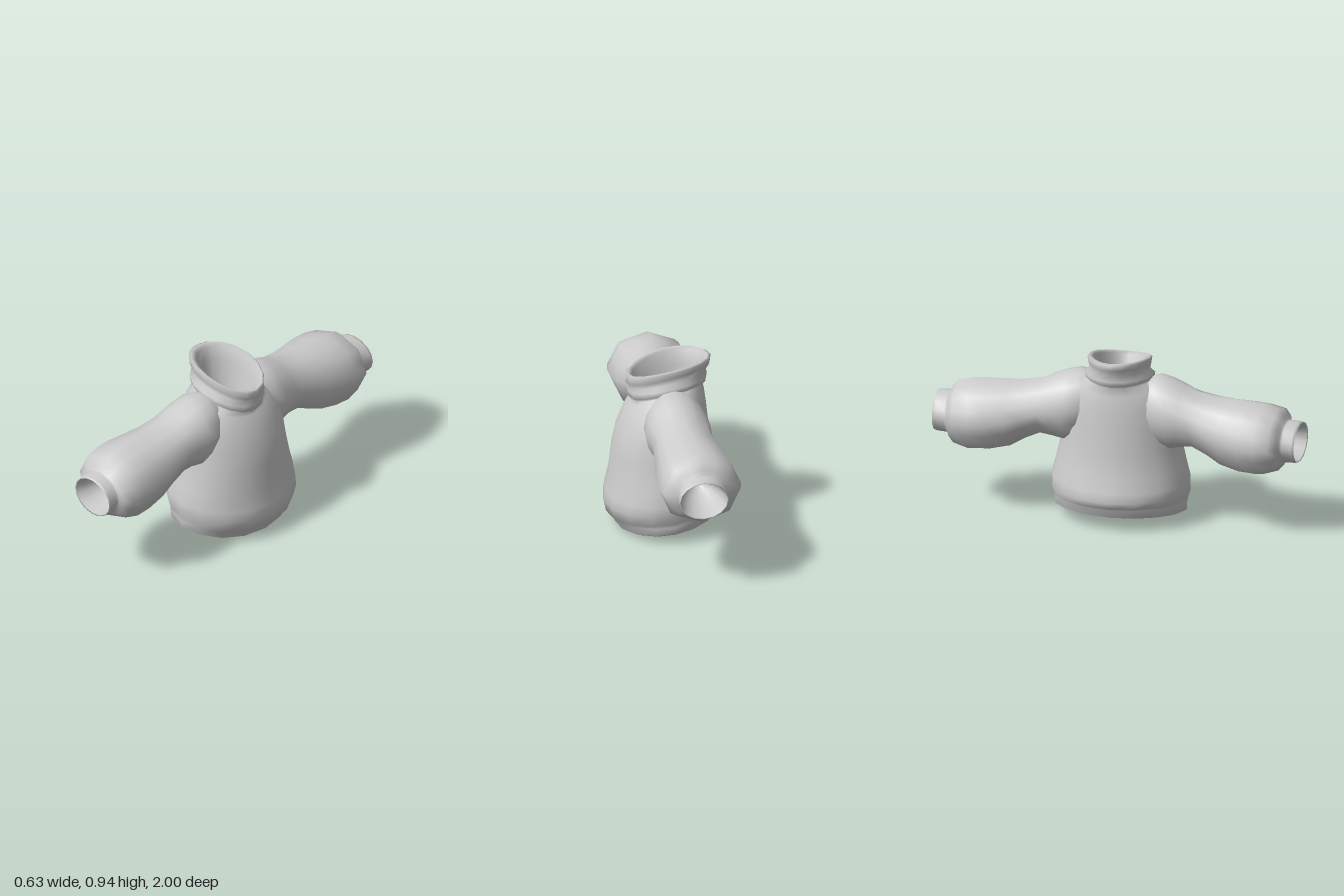
import * as THREE from 'three';

const SIDES = 16;

// Smooth closed-loop skin through rings of SIDES points each
function loft(rings, material, name) {
  const positions = rings.flat(2);
  const index = [];
  for (let r = 0; r < rings.length - 1; r++) {
    for (let i = 0; i < SIDES; i++) {
      const a = r * SIDES + i, b = r * SIDES + (i + 1) % SIDES;
      index.push(a, b, b + SIDES, a, b + SIDES, a + SIDES);
    }
  }
  const geometry = new THREE.BufferGeometry();
  geometry.setAttribute('position', new THREE.Float32BufferAttribute(positions, 3));
  geometry.setIndex(index);
  geometry.computeVertexNormals();
  const mesh = new THREE.Mesh(geometry, material);
  mesh.name = name;
  return mesh;
}

function ring(pointAt) {
  return Array.from({ length: SIDES }, (_, i) => pointAt(i / SIDES * Math.PI * 2, i));
}

// Tilted oval: back edge (x0, y0), chest edge (x1, y1), half width rz, arch of the sides
function bodyRing([x0, y0, x1, y1, rz, arch = 0.015]) {
  return ring((a) => {
    const c = Math.cos(a), s = Math.sin(a);
    return [
      (x0 + x1) / 2 + (x1 - x0) / 2 * c,
      (y0 + y1) / 2 + (y1 - y0) / 2 * c + arch * s * s,
      -rz * s,
    ];
  });
}

// Oval across a sleeve, turned slightly to the back; faceted rings are octagons
function sleeveRing([z, x0, x1, y0, y1, faceted], side) {
  return ring((a, i) => {
    const k = faceted && i % 2 ? Math.cos(Math.PI / 8) : 1;
    const x = (x0 + x1) / 2 + (x1 - x0) / 2 * k * Math.cos(a);
    return [
      x,
      (y0 + y1) / 2 + (y1 - y0) / 2 * k * Math.sin(a) * side,
      (z + 0.05 * (x - 0.076)) * side,
    ];
  });
}

export function createModel() {
  const model = new THREE.Group();
  model.name = 'sweater';
  const wool = new THREE.MeshStandardMaterial({ color: 0xcccccc });
  wool.name = 'grey wool';

  const body = [
    // lining up from the hem
    [-0.14, 0.50, -0.015, 0.48, 0.08],
    [-0.19, 0.36, 0.10, 0.33, 0.19],
    [-0.235, 0.20, 0.20, 0.14, 0.30],
    [-0.25, 0.09, 0.22, 0.02, 0.335],
    // hem band
    [-0.255, 0.07, 0.225, 0.00, 0.345, 0.018],
    [-0.28, 0.08, 0.255, 0.01, 0.36, 0.018],
    [-0.28, 0.122, 0.255, 0.052, 0.362],
    // torso
    [-0.305, 0.137, 0.30, 0.068, 0.362],
    [-0.315, 0.17, 0.315, 0.135, 0.376],
    [-0.305, 0.22, 0.307, 0.19, 0.376],
    [-0.28, 0.30, 0.285, 0.28, 0.355],
    [-0.26, 0.42, 0.27, 0.42, 0.325],
    [-0.248, 0.55, 0.245, 0.53, 0.315],
    [-0.236, 0.66, 0.207, 0.625, 0.288, 0.03],
    [-0.225, 0.74, 0.17, 0.69, 0.235, 0.05],
    [-0.215, 0.785, 0.158, 0.707, 0.178, 0.035],
    // rolled collar
    [-0.236, 0.805, 0.18, 0.72, 0.181, 0.03],
    [-0.241, 0.83, 0.187, 0.755, 0.185, 0.025],
    [-0.232, 0.86, 0.174, 0.78, 0.158, 0.022],
    [-0.258, 0.90, 0.195, 0.80, 0.162, 0.022],
    [-0.261, 0.93, 0.195, 0.84, 0.168, 0.02],
    [-0.245, 0.937, 0.185, 0.852, 0.158, 0.02],
    [-0.215, 0.925, 0.162, 0.84, 0.138, 0.02],
    // lining down from the collar
    [-0.20, 0.85, 0.135, 0.76, 0.125],
    [-0.17, 0.70, 0.07, 0.63, 0.10],
    [-0.14, 0.50, -0.015, 0.48, 0.08],
  ];
  model.add(loft(body.map(bodyRing), wool, 'torso'));

  const sleeve = [
    // shoulder
    [0.16, -0.17, 0.10, 0.50, 0.80],
    [0.22, -0.20, 0.135, 0.44, 0.818],
    [0.29, -0.212, 0.135, 0.42, 0.802],
    [0.36, -0.213, 0.122, 0.438, 0.775],
    [0.43, -0.217, 0.122, 0.44, 0.75, true],
    // puffed forearm
    [0.52, -0.235, 0.13, 0.40, 0.735, true],
    [0.60, -0.257, 0.14, 0.352, 0.732, true],
    [0.71, -0.283, 0.152, 0.326, 0.73, true],
    [0.80, -0.29, 0.156, 0.323, 0.722, true],
    [0.88, -0.275, 0.142, 0.35, 0.70, true],
    [0.912, -0.235, 0.105, 0.385, 0.665, true],
    [0.921, -0.203, 0.073, 0.41, 0.635],
    // cuff
    [0.935, -0.197, 0.07, 0.41, 0.632],
    [0.985, -0.195, 0.075, 0.412, 0.628],
    [1.0, -0.19, 0.076, 0.415, 0.623],
    [0.995, -0.186, 0.071, 0.419, 0.618],
    // closed, rounded lining
    [0.94, -0.177, 0.061, 0.427, 0.61],
    [0.86, -0.157, 0.04, 0.442, 0.594],
    [0.79, -0.128, 0.01, 0.465, 0.571],
    [0.75, -0.095, -0.024, 0.491, 0.545],
    [0.74, -0.06, -0.06, 0.518, 0.518],
  ];
  for (const [side, name] of [[1, 'leftSleeve'], [-1, 'rightSleeve']]) {
    model.add(loft(sleeve.map((row) => sleeveRing(row, side)), wool, name));
  }
  return model;
}
